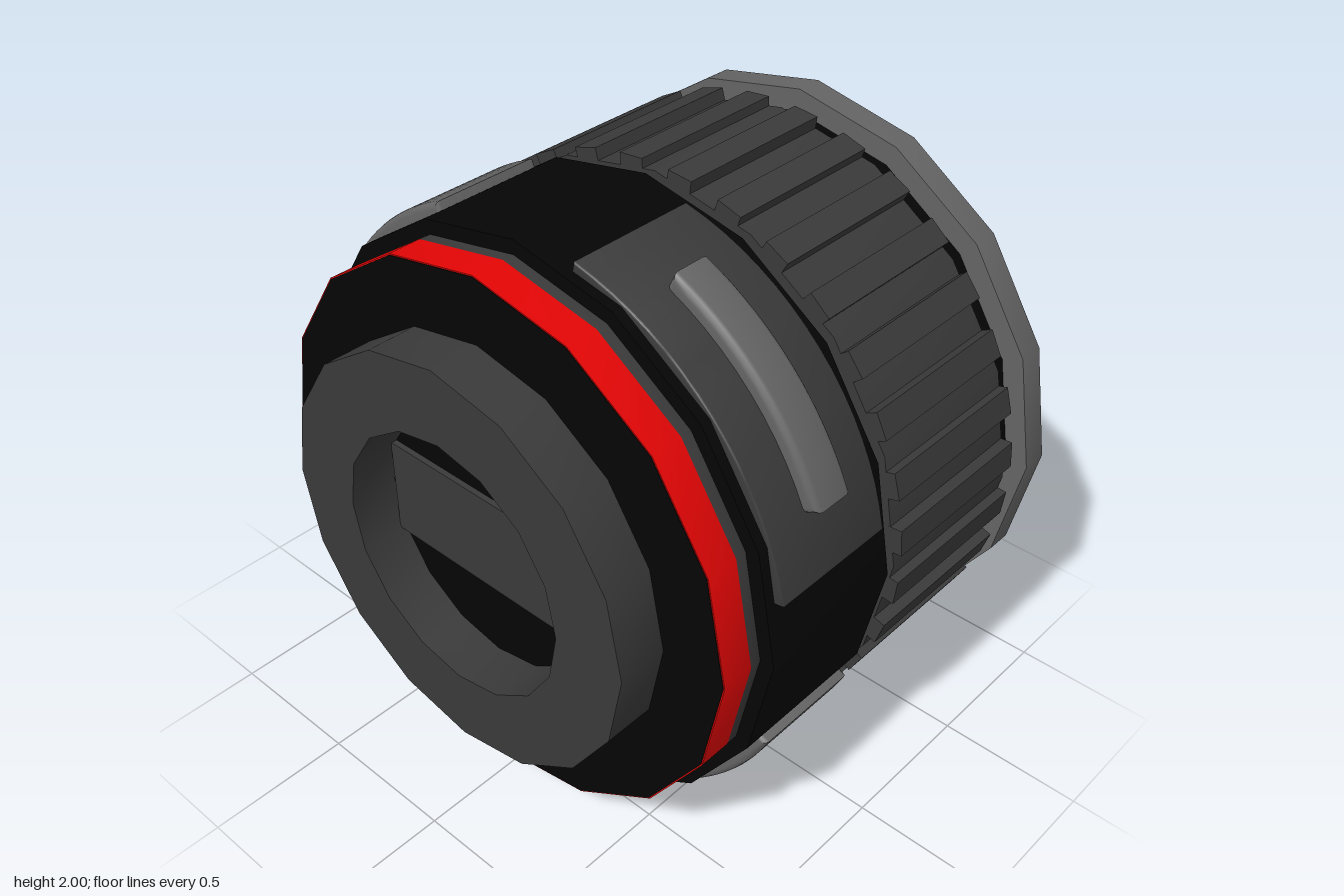
import * as THREE from 'three';
import { toCreasedNormals } from 'three/addons/utils/BufferGeometryUtils.js';

const SIDES = 16;

function material(name, color) {
  const m = new THREE.MeshStandardMaterial({ color });
  m.name = name;
  return m;
}

// Revolves [radius, x] pairs around the x axis; outer walls run towards +x.
function turned(points) {
  const profile = points.map(([r, x]) => new THREE.Vector2(r, x));
  const geo = new THREE.LatheGeometry(profile, SIDES);
  geo.rotateZ(-Math.PI / 2);
  return toCreasedNormals(geo, 0.6);
}

// Solid closed ring between two radii and two x positions.
function ring(inner, outer, x0, x1) {
  return turned([[inner, x0], [outer, x0], [outer, x1], [inner, x1], [inner, x0]]);
}

// Curved plate around the x axis, centred on an angle (0 = back, 90 = up).
function curvedPlate(inner, outer, centre, halfAngle, x0, x1, bevel) {
  const a0 = THREE.MathUtils.degToRad(centre - halfAngle) + bevel;
  const a1 = THREE.MathUtils.degToRad(centre + halfAngle) - bevel;
  const shape = new THREE.Shape();
  shape.absarc(0, 0, outer - bevel, a0, a1, false);
  shape.absarc(0, 0, inner, a1, a0, true);
  const geo = new THREE.ExtrudeGeometry(shape, {
    depth: x1 - x0 - 2 * bevel, curveSegments: 8,
    bevelEnabled: true, bevelSize: bevel, bevelThickness: bevel, bevelSegments: 3,
  });
  geo.translate(0, 0, x0 + bevel);
  geo.rotateY(Math.PI / 2);
  return toCreasedNormals(geo, 0.6);
}

export function createModel() {
  const black = material('black', 0x050505);
  const darkGrey = material('dark grey', 0x3a3a3a);
  const grey = material('grey', 0x646464);
  const red = material('red', 0xe60505);

  const model = new THREE.Group();
  model.name = 'lens';

  // The whole lens lies on its side with its axis at y = 1
  const body = new THREE.Group();
  body.name = 'lensBody';
  body.position.y = 1;
  model.add(body);
  const add = (name, geo, mat, parent = body) => {
    const mesh = new THREE.Mesh(geo, mat);
    mesh.name = name;
    parent.add(mesh);
    return mesh;
  };

  // Barrel core with the recess for the front glass
  add('barrel', turned([
    [0, -0.67], [0.924, -0.67], [0.924, 0.75], [0.705, 0.75], [0.705, 0.59],
  ]), black);
  add('frontGlass', turned([[0.715, 0.6], [0, 0.6]]), darkGrey);

  // Rear mount with a slotted recess
  add('rearMount', ring(0.45, 0.705, -0.84, -0.665), darkGrey);
  add('rearBar', new THREE.BoxGeometry(0.04, 0.34, 0.84), darkGrey).position.x = -0.67;

  // Sleeves around the barrel
  add('redBand', ring(0.9, 0.928, -0.668, -0.555), red);
  add('rearCollar', ring(0.9, 0.927, -0.555, -0.515), darkGrey);
  add('controlBand', ring(0.9, 0.975, -0.515, 0.02), black);
  add('middleCollar', ring(0.9, 0.927, 0.02, 0.06), darkGrey);
  add('frontRim', ring(0.81, 1, 0.745, 0.84), grey);

  // Ribbed grip
  const grip = new THREE.Group();
  grip.name = 'grip';
  body.add(grip);
  add('gripSleeve', ring(0.9, 0.968, 0.06, 0.655), darkGrey, grip);
  const ribGeo = new THREE.BoxGeometry(0.595, 0.06, 0.09);
  ribGeo.translate(0.3575, 0.96, 0);
  const RIBS = 32;
  for (let i = 0; i < RIBS; i++) {
    add('gripRib', ribGeo, darkGrey, grip).rotation.x = ((i + 0.5) / RIBS) * Math.PI * 2;
  }

  // Switch panels with raised sliders, and plain raised pads between them
  for (const angle of [135, 315]) {
    add('switchPanel', curvedPlate(0.93, 0.986, angle, 33.5, -0.48, -0.02, 0.006), darkGrey);
    add('switchSlider', curvedPlate(0.95, 1.034, angle, 21.5, -0.325, -0.175, 0.022), grey);
  }
  for (const angle of [45, 225]) {
    add('raisedPad', curvedPlate(0.93, 1.0, angle, 21.5, -0.45, -0.05, 0.018), grey);
  }

  return model;
}
